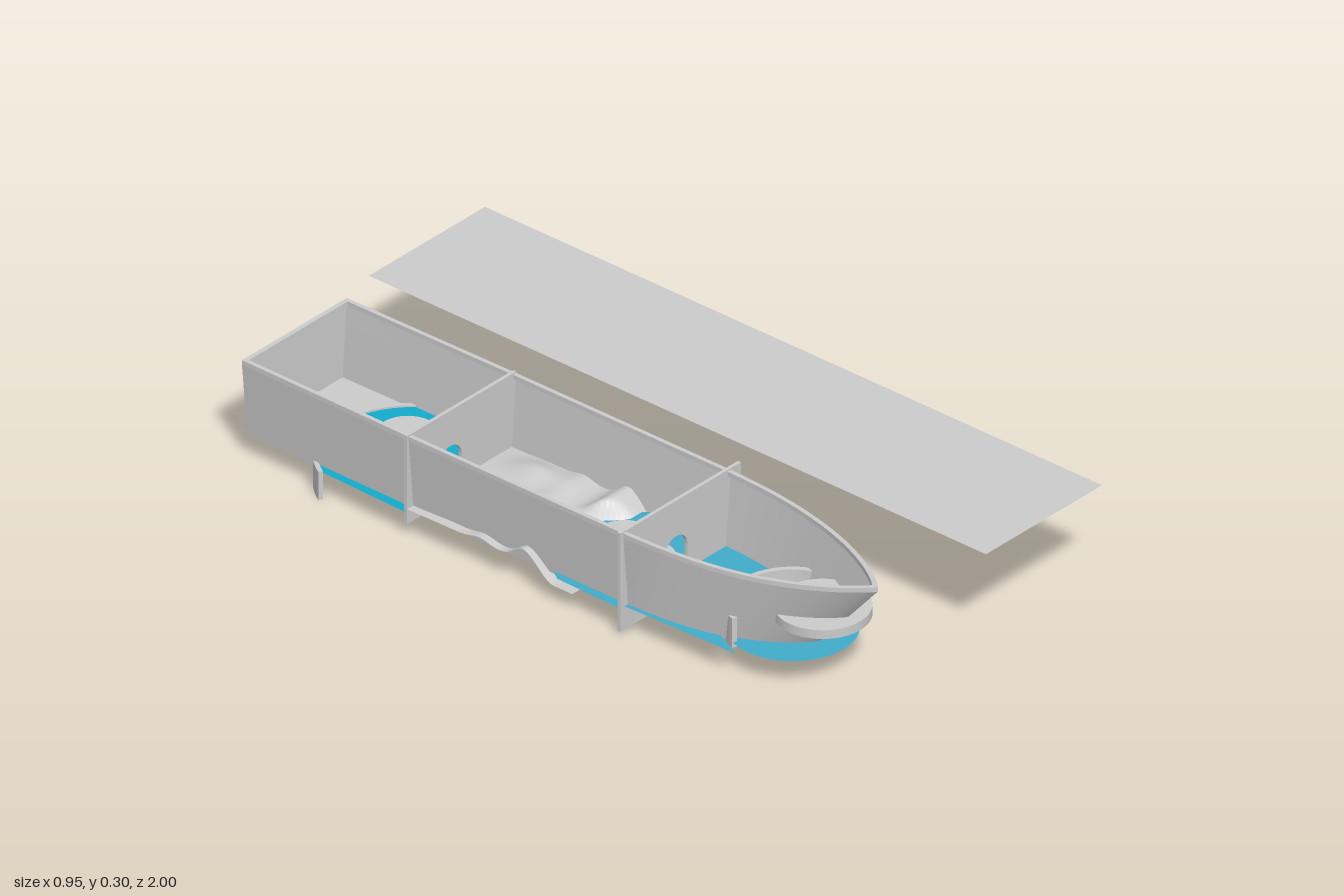
import * as THREE from 'three';
import { toCreasedNormals } from 'three/addons/utils/BufferGeometryUtils.js';

const material = (color) => new THREE.MeshStandardMaterial({ color, side: THREE.DoubleSide });
const grey = material(0xcccccc);
const sternBlue = material(0x12accb);
const bowBlue = material(0x41accb);

// Bow rises slightly towards the tip
const rise = (z) => 0.015 * Math.max(0, (z - 0.5) / 0.42) ** 2;

// Plan outline from stern to bow tip and back; the bow is a superellipse
function outline(width, bow, stern, power) {
  const half = [[width * 0.975, stern], [width, -0.44]];
  const n = 20;
  for (let i = 0; i <= n; i++) {
    const u = Math.sin((i / n) * Math.PI / 2);
    half.push([width * Math.max(0, 1 - u ** 2.6) ** power, 0.2 + u * (bow - 0.2)]);
  }
  const mirror = half.slice(0, -1).reverse().map(([x, z]) => [-x, z]);
  return [...half, ...mirror].map(([x, z]) => new THREE.Vector2(x, z));
}

// Horizontal sheet from plan points (x, z)
function sheet(points) {
  return new THREE.ShapeGeometry(new THREE.Shape(points)).rotateX(Math.PI / 2);
}

// Sloping wall between the lower and upper outlines
function shell(lower, upper) {
  const pos = [], index = [], n = lower.length;
  for (let i = 0; i < n; i++) {
    pos.push(lower[i].x, 0.068, lower[i].y);
    pos.push(upper[i].x, 0.275 + rise(upper[i].y), upper[i].y);
    const a = 2 * i, b = 2 * ((i + 1) % n);
    index.push(a, a + 1, b, b, a + 1, b + 1);
  }
  const g = new THREE.BufferGeometry();
  g.setAttribute('position', new THREE.Float32BufferAttribute(pos, 3));
  g.setIndex(index);
  return toCreasedNormals(g, 0.5);
}

// Upright curved wall, cut from a ring that opens towards the bow
function arcWall(radius, thickness, halfAngle, y0, y1) {
  const s = new THREE.Shape();
  const a0 = -Math.PI / 2 - halfAngle, a1 = -Math.PI / 2 + halfAngle;
  s.absarc(0, 0, radius, a0, a1, false);
  s.absarc(0, 0, radius - thickness, a1, a0, true);
  const g = new THREE.ExtrudeGeometry(s, { depth: y1 - y0, bevelEnabled: false, curveSegments: 28 });
  return toCreasedNormals(g.rotateX(Math.PI / 2).translate(0, y1, 0), 0.5);
}

// Cross wall with an arched doorway open at the bottom
function bulkhead(x0, x1, y0, doorX) {
  const r = 0.042, top = 0.29, spring = 0.147, t = 0.01;
  const s = new THREE.Shape();
  s.moveTo(x0, y0);
  s.lineTo(doorX - r, y0);
  s.lineTo(doorX - r, spring);
  s.absarc(doorX, spring, r, Math.PI, 0, true);
  s.lineTo(doorX + r, y0);
  s.lineTo(x1, y0);
  s.lineTo(x1, top);
  s.lineTo(x0, top);
  const g = new THREE.ExtrudeGeometry(s, { depth: t, bevelEnabled: false, curveSegments: 16 });
  return toCreasedNormals(g.translate(0, 0, -t / 2), 0.5);
}

// Rolling banks with a winding channel between them
function banks() {
  const bump = (v, c, w) => Math.exp(-(((v - c) / w) ** 2));
  const g = new THREE.PlaneGeometry(0.412, 0.54, 44, 56).rotateX(-Math.PI / 2).translate(0, 0, -0.17);
  const p = g.attributes.position;
  for (let i = 0; i < p.count; i++) {
    const x = p.getX(i), z = p.getZ(i);
    const centre = -0.045 + 0.07 * THREE.MathUtils.smoothstep(z, -0.3, 0.02);
    const half = 0.04 + 0.07 * THREE.MathUtils.smoothstep(z, -0.12, 0.04);
    const side = THREE.MathUtils.smoothstep(Math.abs(x - centre), half - 0.02, half + 0.03);
    const hills = 0.082 + 0.035 * bump(z, -0.06, 0.04) + 0.012 * bump(z, -0.2, 0.04)
      + 0.025 * bump(z, -0.3, 0.08) * bump(Math.abs(x), 0.12, 0.05);
    const fall = THREE.MathUtils.smoothstep(z, -0.03, 0.04);
    p.setY(i, THREE.MathUtils.lerp(0.06, hills - 0.03 * fall, side));
  }
  g.computeVertexNormals();
  return g;
}

export function createModel() {
  const model = new THREE.Group();
  const boat = new THREE.Group();
  boat.name = 'boat';
  boat.position.x = -0.26;
  model.add(boat);

  const add = (name, geometry, mat = grey, x = 0, y = 0, z = 0) => {
    const mesh = new THREE.Mesh(geometry, mat);
    mesh.name = name;
    mesh.position.set(x, y, z);
    boat.add(mesh);
    return mesh;
  };

  // Hull: walls, floor and rail
  const upper = outline(0.2, 0.912, -0.98, 0.9);
  const lower = outline(0.182, 0.72, -0.978, 0.7);
  add('hullWalls', shell(lower, upper));
  add('hullFloor', sheet(lower), grey, 0, 0.068);
  const rim = new THREE.Shape(upper);
  rim.holes.push(new THREE.Path(outline(0.188, 0.892, -0.967, 0.9)));
  const rail = new THREE.ExtrudeGeometry(rim, { depth: 0.013, bevelEnabled: false });
  rail.rotateX(Math.PI / 2).translate(0, 0.286, 0);
  const rp = rail.attributes.position;
  for (let i = 0; i < rp.count; i++) rp.setY(i, rp.getY(i) + rise(rp.getZ(i)));
  add('rail', toCreasedNormals(rail, 0.5));

  // Cross walls with doorways
  add('frontBulkhead', bulkhead(-0.21, 0.238, 0.01, -0.003), grey, 0, 0, 0.255);
  add('rearBulkhead', bulkhead(-0.206, 0.2, 0.04, -0.045), grey, 0, 0, -0.44);

  // Curved walls around the pools
  add('sternArcWall', arcWall(0.246, 0.012, 1.05, 0, 0.08), grey, 0, 0, -0.594);
  add('bowArcWall', arcWall(0.168, 0.014, 1.2, 0.064, 0.148), grey, 0, 0, 0.635);

  // Water
  const sternPool = [];
  for (let i = 0; i <= 24; i++) {
    const a = -Math.PI / 2 + (i / 24 - 0.5) * 2;
    sternPool.push(new THREE.Vector2(0.24 * Math.cos(a), -0.594 + 0.24 * Math.sin(a)));
  }
  sternPool.push(new THREE.Vector2(0.205, -0.44), new THREE.Vector2(-0.21, -0.44));
  add('sternPool', sheet(sternPool), sternBlue, 0, 0.075);
  const middlePool = [[-0.17, 0], [0.17, 0], [0.205, 0.05], [0.222, 0.14], [0.225, 0.25], [0.2, 0.26],
    [0.175, 0.58], [0.13, 0.5], [-0.13, 0.5], [-0.185, 0.61], [-0.195, 0.26], [-0.21, 0.25], [-0.205, 0.05]];
  add('middlePool', sheet(middlePool.map(([x, z]) => new THREE.Vector2(x, z))), bowBlue, 0, 0.076);
  add('bowPool', new THREE.CircleGeometry(0.165, 40).rotateX(-Math.PI / 2), bowBlue, 0, 0.079, 0.635);
  const stream = new THREE.PlaneGeometry(0.3, 0.32).rotateX(-Math.PI / 2);
  add('stream', stream, bowBlue, 0, 0.072, -0.15);
  add('banks', banks());

  // Footpaths through the doors
  add('frontPath', new THREE.BoxGeometry(0.084, 0.016, 0.3), grey, -0.003, 0.082, 0.335);
  add('rearPath', new THREE.BoxGeometry(0.08, 0.016, 0.22), grey, -0.045, 0.082, -0.41);

  // Round stepping stones
  const stone = new THREE.CylinderGeometry(0.075, 0.075, 0.02, 36);
  const stones = [[0.055, -0.66], [-0.015, -0.6], [-0.05, -0.53], [-0.045, 0.07], [0.03, 0.065], [-0.008, 0.165]];
  stones.forEach(([x, z], i) => add('steppingStone' + (i + 1), stone, grey, x, 0.085 + i % 3 * 0.002, z));

  // Stepped round platform in the bow
  const steps = [[0.122, 0.155, 0.18], [0.057, 0.18, 0.2], [0.037, 0.2, 0.23]];
  steps.forEach(([r, y0, y1], i) =>
    add('bowPlatform' + (i + 1), new THREE.CylinderGeometry(r, r, y1 - y0, 40), grey, 0, (y0 + y1) / 2, 0.732));

  // Flat deck alongside
  const deck = new THREE.Mesh(new THREE.PlaneGeometry(0.432, 2).rotateX(-Math.PI / 2), grey);
  deck.name = 'sideDeck';
  deck.position.set(0.256, 0.293, 0);
  model.add(deck);
  return model;
}
